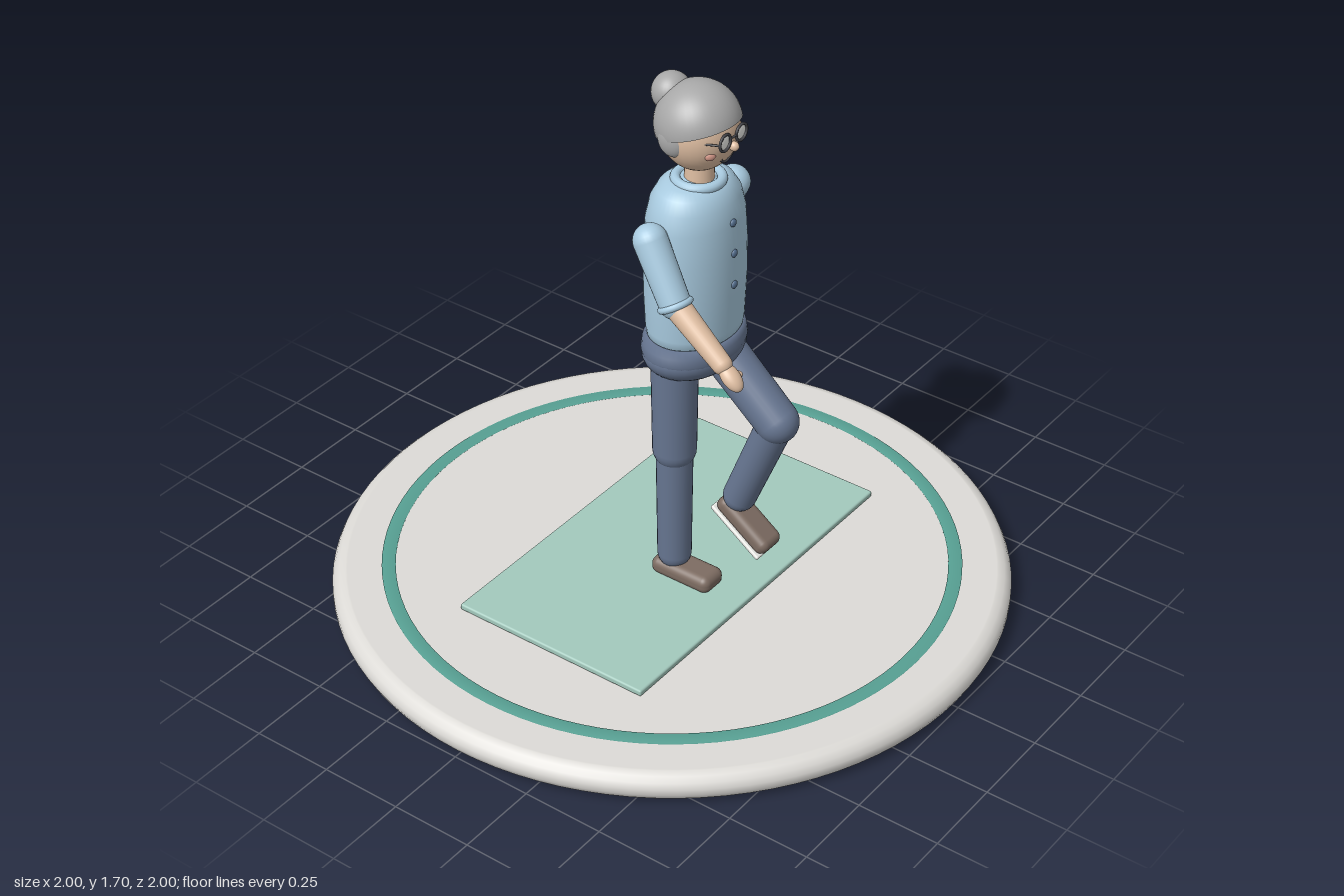
import * as THREE from 'three';
import { RoundedBoxGeometry } from 'three/addons/geometries/RoundedBoxGeometry.js';

const V = (x, y, z) => new THREE.Vector3(x, y, z);
const mat = (color) => new THREE.MeshStandardMaterial({ color, side: THREE.DoubleSide });

export function createModel() {
  const root = new THREE.Group();
  root.name = 'walkingFigure';
  const stone = mat(0xdddbd7), teal = mat(0x57a093), matGreen = mat(0xa3c9bd);
  const shirt = mat(0xa9cbe0), trousers = mat(0x667590), skin = mat(0xe0bfa3);
  const hair = mat(0xa8a8a8), leather = mat(0x7d6c62), white = mat(0xeeeeea);
  const dark = mat(0x45454a), buttonBlue = mat(0x56708f), blush = mat(0xd99c8c);

  const add = (parent, name, geometry, material, p = [0, 0, 0], s = [1, 1, 1], r = [0, 0, 0]) => {
    const m = new THREE.Mesh(geometry, material);
    m.name = name;
    m.position.set(...p);
    m.scale.set(...s);
    m.rotation.set(...r);
    parent.add(m);
    return m;
  };
  const group = (name, parent = root) => {
    const g = new THREE.Group();
    g.name = name;
    parent.add(g);
    return g;
  };
  const ball = new THREE.SphereGeometry(1, 32, 24);
  const lathe = (pts, n = 48) => new THREE.LatheGeometry(pts.map(([r, y]) => new THREE.Vector2(r, y)), n);

  // Tapered limb with round ends, from a to b
  const limb = (parent, name, a, b, ra, rb, material) => {
    const len = a.distanceTo(b), pts = [];
    for (let i = 0; i <= 8; i++) {
      const t = -Math.PI / 2 + (i / 8) * Math.PI / 2;
      pts.push([ra * Math.cos(t), ra * Math.sin(t)]);
    }
    for (let i = 0; i <= 8; i++) {
      const t = (i / 8) * Math.PI / 2;
      pts.push([rb * Math.cos(t), len + rb * Math.sin(t)]);
    }
    const m = add(parent, name, lathe(pts, 28), material, a.toArray());
    m.quaternion.setFromUnitVectors(V(0, 1, 0), b.clone().sub(a).normalize());
    return m;
  };

  // Round base, teal ring and exercise mat
  const base = group('base');
  add(base, 'platform', lathe([[0, 0], [0.955, 0], [0.96, 0], [0.978, 0.006], [0.992, 0.019], [1, 0.036],
    [1, 0.054], [0.992, 0.071], [0.978, 0.084], [0.96, 0.09], [0.955, 0.09], [0, 0.09]], 96), stone);
  add(base, 'ring', lathe([[0.813, 0.085], [0.813, 0.093], [0.854, 0.093], [0.854, 0.085]], 96), teal);
  add(base, 'floorMat', new RoundedBoxGeometry(1.16, 0.02, 0.65, 2, 0.006), matGreen, [0, 0.1, -0.003]);

  // Torso
  const body = group('body');
  add(body, 'shirt', lathe([[0, 0.925], [0.145, 0.925], [0.156, 0.935], [0.16, 0.96], [0.166, 1.08], [0.166, 1.2],
    [0.159, 1.3], [0.145, 1.355], [0.122, 1.39], [0.095, 1.407], [0.04, 1.415], [0, 1.415]]),
  shirt, [0, 0, 0.08], [1, 1, 0.79]);
  add(body, 'collar', new THREE.TorusGeometry(0.064, 0.015, 12, 40), shirt, [0, 1.408, 0.09], [1, 1, 1], [Math.PI / 2, 0, 0]);
  for (const [y, z] of [[1.305, 0.206], [1.21, 0.211], [1.11, 0.212]])
    add(body, 'button', ball, buttonBlue, [0, y, z], [0.012, 0.012, 0.007]);
  add(body, 'hips', ball, trousers, [0, 0.875, 0.078], [0.175, 0.088, 0.133]);
  add(body, 'waistband', lathe([[0, 0.86], [0.168, 0.86], [0.175, 0.885], [0.171, 0.91], [0.158, 0.93], [0, 0.935]]),
    trousers, [0, 0, 0.078], [1, 1, 0.77]);
  add(body, 'neck', new THREE.CylinderGeometry(0.04, 0.043, 0.1, 28), skin, [0, 1.43, 0.092]);

  // Head and hair
  const head = group('head');
  add(head, 'face', ball, skin, [0, 1.568, 0.09], [0.112, 0.124, 0.112]);
  add(head, 'hairCap', new THREE.SphereGeometry(0.121, 40, 24, 0, Math.PI * 2, 0, Math.PI / 2 + 0.06),
    hair, [0, 1.578, 0.087], [1, 1, 1], [-0.3, 0, 0]);
  add(head, 'bun', ball, hair, [0, 1.643, -0.002], [0.057, 0.057, 0.055]);
  for (const s of [-1, 1]) {
    add(head, 'sideHair', ball, hair, [s * 0.093, 1.56, 0.07], [0.027, 0.05, 0.045]);
    add(head, 'lens', ball, white, [s * 0.037, 1.57, 0.199], [0.022, 0.022, 0.005]);
    add(head, 'eye', ball, dark, [s * 0.037, 1.57, 0.198], [0.006, 0.007, 0.005]);
    add(head, 'glassesRim', new THREE.TorusGeometry(0.024, 0.004, 8, 32), dark, [s * 0.037, 1.57, 0.203]);
    limb(head, 'glassesArm', V(s * 0.061, 1.572, 0.203), V(s * 0.108, 1.572, 0.1), 0.003, 0.003, dark);
    limb(head, 'eyebrow', V(s * 0.022, 1.609, 0.196), V(s * 0.052, 1.604, 0.187), 0.005, 0.004, hair);
    add(head, 'cheek', ball, blush, [s * 0.062, 1.53, 0.172], [0.016, 0.013, 0.009], [0, s * 0.6, 0]);
  }
  limb(head, 'glassesBridge', V(-0.013, 1.573, 0.204), V(0.013, 1.573, 0.204), 0.003, 0.003, dark);
  add(head, 'nose', ball, skin, [0, 1.544, 0.205], [0.013, 0.014, 0.015]);
  const smile = new THREE.CatmullRomCurve3([V(-0.028, 1.508, 0.182), V(-0.015, 1.494, 0.179), V(0, 1.489, 0.178),
    V(0.015, 1.494, 0.179), V(0.028, 1.508, 0.182)]);
  add(head, 'smile', new THREE.TubeGeometry(smile, 20, 0.004, 8), dark);

  // Arms: right reaches forward, left swings back
  const arm = (name, shoulder, elbow, wrist, hand, thumb) => {
    const g = group(name);
    const dir = elbow.clone().sub(shoulder).normalize();
    limb(g, 'sleeve', shoulder, elbow, 0.049, 0.045, shirt);
    const cuff = add(g, 'cuff', new THREE.TorusGeometry(0.042, 0.01, 10, 32), shirt,
      elbow.clone().addScaledVector(dir, 0.005).toArray());
    cuff.quaternion.setFromUnitVectors(V(0, 0, 1), dir);
    limb(g, 'forearm', elbow, wrist, 0.038, 0.029, skin);
    const palm = add(g, 'hand', ball, skin, wrist.clone().lerp(hand, 0.6).toArray(), [0.027, 0.046, 0.023]);
    palm.quaternion.setFromUnitVectors(V(0, 1, 0), hand.clone().sub(wrist).normalize());
    limb(g, 'thumb', wrist.clone().lerp(hand, 0.3), thumb, 0.012, 0.01, skin);
  };
  arm('rightArm', V(-0.192, 1.295, 0.07), V(-0.21, 1.14, 0.165), V(-0.227, 1.02, 0.335),
    V(-0.233, 0.975, 0.39), V(-0.203, 0.99, 0.375));
  arm('leftArm', V(0.192, 1.295, 0.068), V(0.212, 1.14, -0.01), V(0.228, 0.945, -0.01),
    V(0.232, 0.875, -0.006), V(0.205, 0.895, 0.006));

  // Shoe with rounded upper and pale flat sole, origin at the sole's underside
  const shoe = (parent, x, y, z, tilt) => {
    const g = group('shoe', parent);
    g.position.set(x, y, z);
    g.rotation.x = tilt;
    add(g, 'sole', new RoundedBoxGeometry(0.1, 0.014, 0.205, 3, 0.006), white, [0, 0.007, 0]);
    add(g, 'upper', new RoundedBoxGeometry(0.094, 0.055, 0.205, 6, 0.024), leather, [0, 0.036, 0]);
  };

  // Legs: right stands, left is lifted and bent
  const leg = (name, hip, knee, ankle) => {
    const g = group(name);
    limb(g, 'thigh', hip, knee, 0.068, 0.064, trousers);
    limb(g, 'shin', knee, ankle, 0.054, 0.05, trousers);
    return g;
  };
  const rightLeg = leg('rightLeg', V(-0.082, 0.86, 0.07), V(-0.082, 0.55, 0.07), V(-0.082, 0.18, 0.07));
  shoe(rightLeg, -0.082, 0.093, 0.115, 0);
  const leftLeg = leg('leftLeg', V(0.082, 0.85, 0.075), V(0.082, 0.645, 0.308), V(0.082, 0.335, 0.185));
  shoe(leftLeg, 0.082, 0.224, 0.195, 0.62);

  return root;
}
